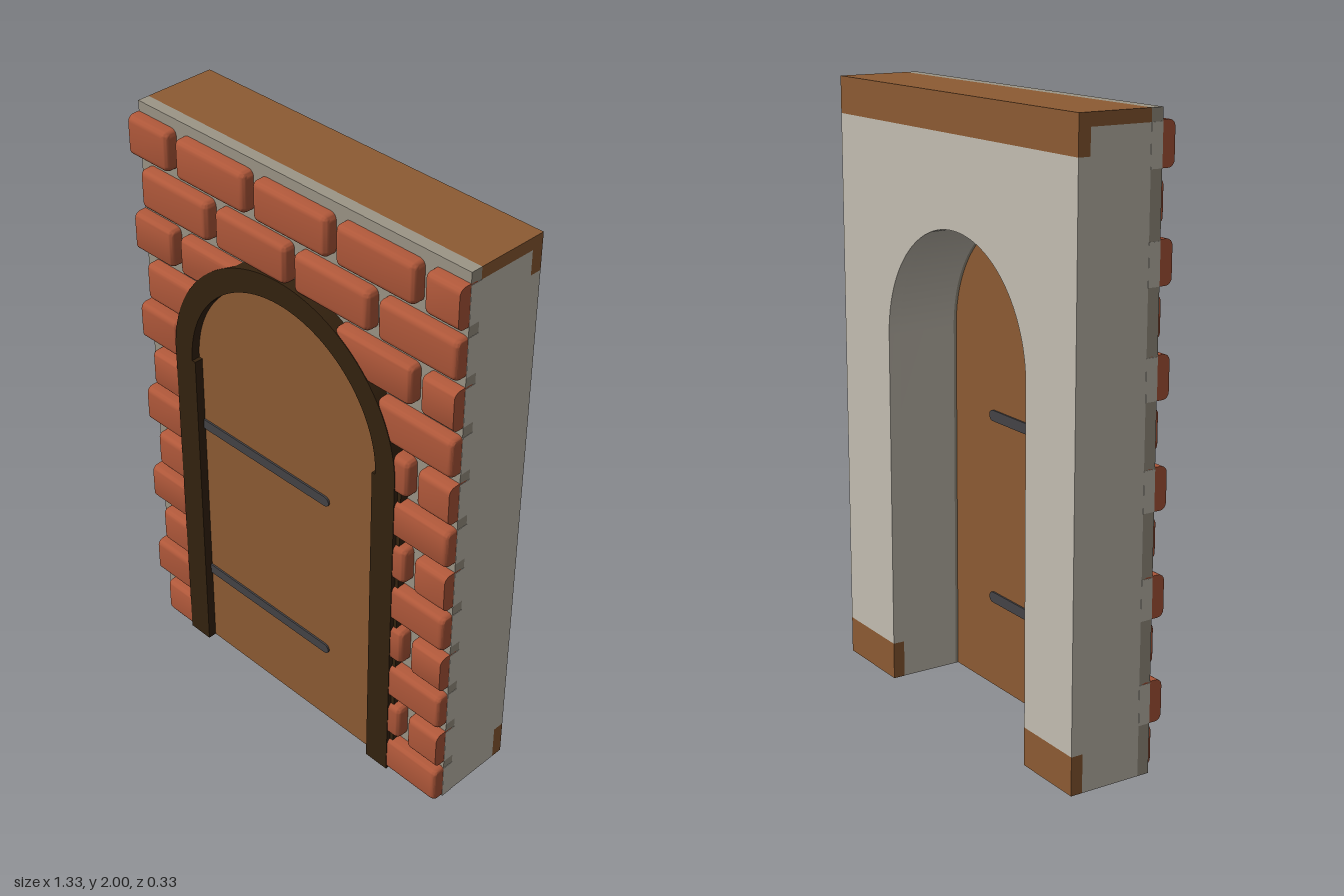
import * as THREE from 'three';
import { toCreasedNormals } from 'three/addons/utils/BufferGeometryUtils.js';
import { RoundedBoxGeometry } from 'three/addons/geometries/RoundedBoxGeometry.js';

const W = 0.665;              // half width of the wall
const CX = -0.022, CY = 1.195; // centre of the arch
const OPEN = 0.395;           // radius of the opening
const BACK = -0.165, TRIM = -0.125, MORTAR = 0.08, FACE = 0.12, FRONT = 0.165;
const ROW = 1 / 6, BRICK_H = 0.135, BRICK_W = 0.302, PITCH = 1 / 3;

function material(name, color) {
  const m = new THREE.MeshStandardMaterial({ color });
  m.name = name;
  return m;
}

export function createModel() {
  const model = new THREE.Group();
  model.name = 'archedDoorWall';
  const plaster = material('plaster', 0xc4beb2);
  const mortar = material('mortar', 0x9c9586);
  const brick = material('brick', 0xb0583a);
  const wood = material('wood', 0x8d5b33);
  const darkWood = material('darkWood', 0x34220f);
  const iron = material('iron', 0x444346);

  function add(name, geometry, mat, parent = model) {
    const mesh = new THREE.Mesh(geometry, mat);
    mesh.name = name;
    parent.add(mesh);
    return mesh;
  }
  // Box given by its limits
  function box(name, mat, x0, x1, y0, y1, z0, z1, parent) {
    const g = new THREE.BoxGeometry(x1 - x0, y1 - y0, z1 - z0);
    g.translate((x0 + x1) / 2, (y0 + y1) / 2, (z0 + z1) / 2);
    return add(name, g, mat, parent);
  }
  function extrude(name, mat, shape, z0, z1) {
    const g = new THREE.ExtrudeGeometry(shape, { depth: z1 - z0, bevelEnabled: false, curveSegments: 32 });
    g.translate(0, 0, z0);
    return add(name, toCreasedNormals(g, 0.6), mat);
  }
  // Wall outline with the arched opening cut up from the bottom
  function wallShape(y0, y1) {
    const s = new THREE.Shape();
    s.moveTo(-W, y0);
    s.lineTo(-W, y1);
    s.lineTo(W, y1);
    s.lineTo(W, y0);
    s.lineTo(CX + OPEN, y0);
    s.lineTo(CX + OPEN, CY);
    s.absarc(CX, CY, OPEN, 0, Math.PI, false);
    s.lineTo(CX - OPEN, y0);
    s.closePath();
    return s;
  }

  // Wall layers
  extrude('wallCore', plaster, wallShape(0, 1.96), TRIM, MORTAR);
  extrude('wallBack', plaster, wallShape(0.125, 1.88), BACK, TRIM);
  extrude('mortarLayer', mortar, wallShape(0, 2), MORTAR, FACE);

  // Wooden trim on the top and along the back
  box('topBoard', wood, -W, W, 1.96, 2, BACK, MORTAR);
  box('backTopBoard', wood, -W, W, 1.88, 1.96, BACK, TRIM);
  box('rightBaseboard', wood, -W, CX - OPEN, 0, 0.125, BACK, TRIM);
  box('leftBaseboard', wood, CX + OPEN, W, 0, 0.125, BACK, TRIM);

  // Bricks, trimmed at the wall ends and around the arch
  const bricks = new THREE.Group();
  bricks.name = 'bricks';
  model.add(bricks);
  const R = 0.45;
  const reach = (y) => {
    const d = Math.max(0, y - CY);
    return d < R ? Math.sqrt(R * R - d * d) : -1;
  };
  function addBrick(x0, y0, row) {
    const x1 = x0 + BRICK_W, xm = (x0 + x1) / 2, ym = y0 + BRICK_H / 2;
    if (x1 < -W + 0.04 || x0 > W - 0.04) return;
    const side = xm < CX ? -1 : 1;
    const outer = side < 0 ? CX - x0 : x1 - CX;
    if (row < 10 && (Math.abs(xm - CX) < 0.1 || outer < reach(y0 + BRICK_H) + 0.03)) return;
    const g = new RoundedBoxGeometry(BRICK_W, BRICK_H, 0.082, 3, 0.022);
    g.translate(xm, ym, 0.122);
    const p = g.attributes.position;
    for (let i = 0; i < p.count; i++) {
      let x = p.getX(i);
      const limit = reach(p.getY(i));
      if (limit > 0) x = CX + side * Math.max(side * (x - CX), limit);
      p.setX(i, THREE.MathUtils.clamp(x, -W, W));
    }
    add('brick', toCreasedNormals(g, 0.6), brick, bricks);
  }
  for (let row = 0; row < 12; row++) {
    const odd = row % 2 === 1, y0 = row * ROW - (row ? 0.003 : 0);
    const start = odd ? -0.798 : -0.632;
    for (let i = 0; i < 5; i++) addBrick(start + i * PITCH, y0, row);
    // Plaster ends between the mortar joints
    box('leftJointEnd', plaster, W - 0.004, W + 0.001, y0, y0 + BRICK_H - 0.005, MORTAR, FACE);
    if (odd) box('rightJointEnd', plaster, -W - 0.001, -W + 0.004, y0, y0 + BRICK_H - 0.005, MORTAR, FACE);
  }

  // Door frame: half ring on two legs, each with a wider back strip
  const ring = new THREE.Shape();
  ring.absarc(CX, CY, 0.48, 0, Math.PI, false);
  ring.absarc(CX, CY, 0.402, Math.PI, 0, true);
  ring.closePath();
  extrude('frameArch', darkWood, ring, FACE, FRONT);
  for (const s of [-1, 1]) {
    const leg = (name, inner, outer, z1) => {
      const a = CX + s * inner, b = CX + s * outer;
      box(name, darkWood, Math.min(a, b), Math.max(a, b), 0, CY, FACE, z1);
    };
    leg('frameLeg', 0.388, 0.479, FRONT);
    leg('frameLegBacking', 0.4, 0.492, 0.15);
  }

  // Door leaf
  const leaf = new THREE.Shape();
  leaf.moveTo(CX - 0.405, 0);
  leaf.lineTo(CX + 0.405, 0);
  leaf.lineTo(CX + 0.405, CY);
  leaf.absarc(CX, CY, 0.405, 0, Math.PI, false);
  leaf.closePath();
  extrude('doorLeaf', wood, leaf, 0.09, 0.135);

  // Iron hinge straps, showing on both faces of the door
  for (const y of [0.315, 0.94]) {
    box('hingeStrap', iron, -0.415, 0.145, y - 0.018, y + 0.018, 0.084, 0.141);
    const tip = new THREE.CylinderGeometry(0.018, 0.018, 0.057, 12);
    tip.rotateX(Math.PI / 2);
    tip.translate(0.145, y, 0.1125);
    add('hingeStrapTip', tip, iron);
  }
  return model;
}
